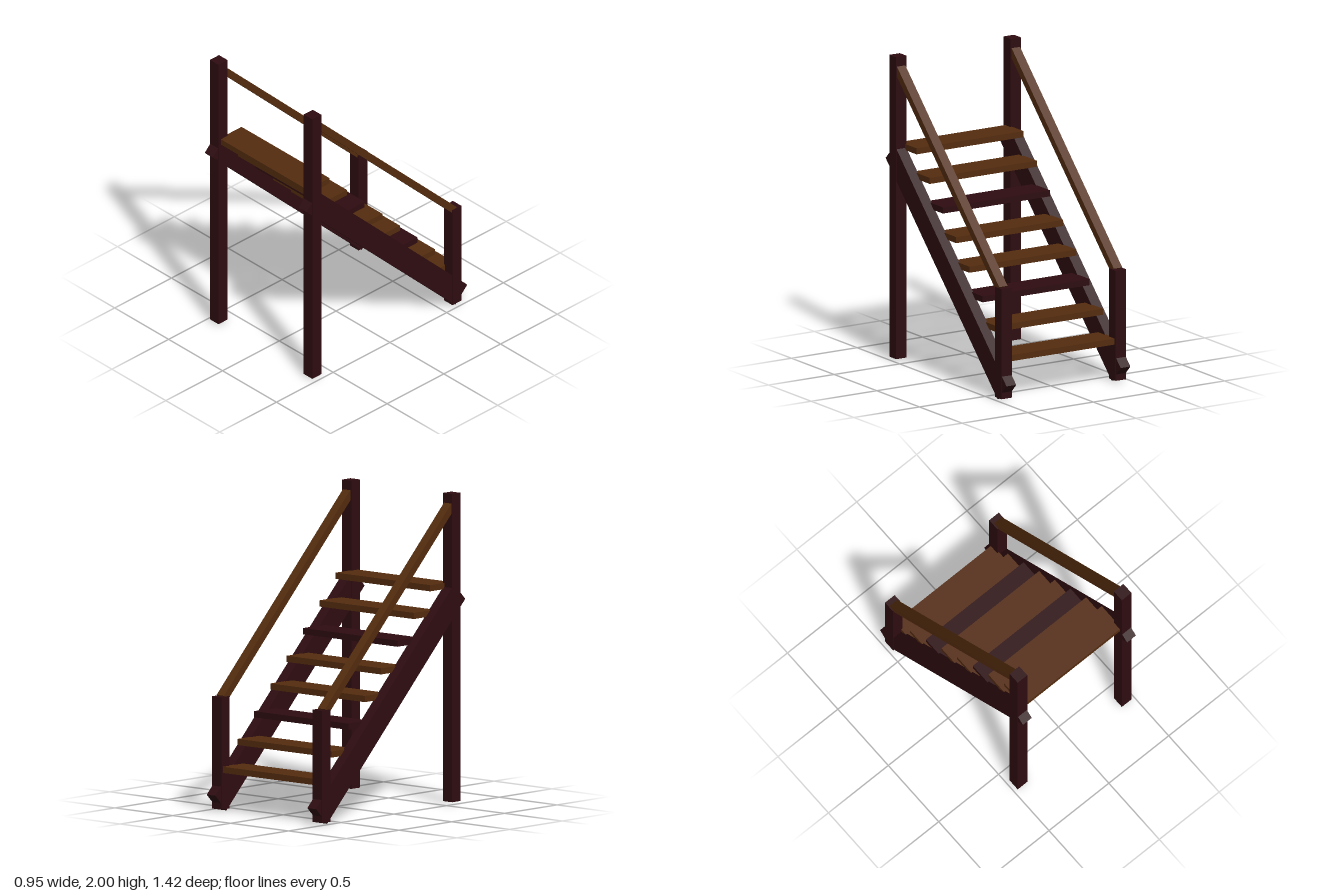
import * as THREE from 'three';

// Open-tread staircase with posts, stringers and sloping handrails
export function createModel() {
  const model = new THREE.Group();
  model.name = 'staircase';
  const darkWood = new THREE.MeshStandardMaterial({ color: 0x2e0c10 });
  darkWood.name = 'dark wood';
  const brownWood = new THREE.MeshStandardMaterial({ color: 0x542c0e });
  brownWood.name = 'brown wood';

  const box = (name, material, size, position, tilt = 0) => {
    const mesh = new THREE.Mesh(new THREE.BoxGeometry(...size), material);
    mesh.name = name;
    mesh.position.set(...position);
    mesh.rotation.x = tilt;
    model.add(mesh);
  };

  for (const [side, s] of [['left', 1], ['right', -1]]) {
    // Upright posts
    box(side + 'TallPost', darkWood, [0.08, 1.99, 0.08], [s * 0.435, 1.005, 0.62]);
    box(side + 'ShortPost', darkWood, [0.08, 0.725, 0.08], [s * 0.435, 0.3725, -0.615]);
    // Stringer and handrail, both rising at 45 degrees towards the front
    box(side + 'Stringer', darkWood, [0.074, 0.15, 1.853], [s * 0.435, 0.7075, 0], -Math.PI / 4);
    box(side + 'Handrail', brownWood, [0.064, 0.047, 1.715], [s * 0.437, 1.33, 0.005], -Math.PI / 4);
  }

  // Treads, from the lowest up; every third one is dark
  for (let i = 0; i < 8; i++) {
    const material = i % 3 === 2 ? darkWood : brownWood;
    box('tread' + (i + 1), material, [0.816, 0.04, 0.195], [0, 0.266 + i * 0.162, -0.5425 + i * 0.155]);
  }
  return model;
}
